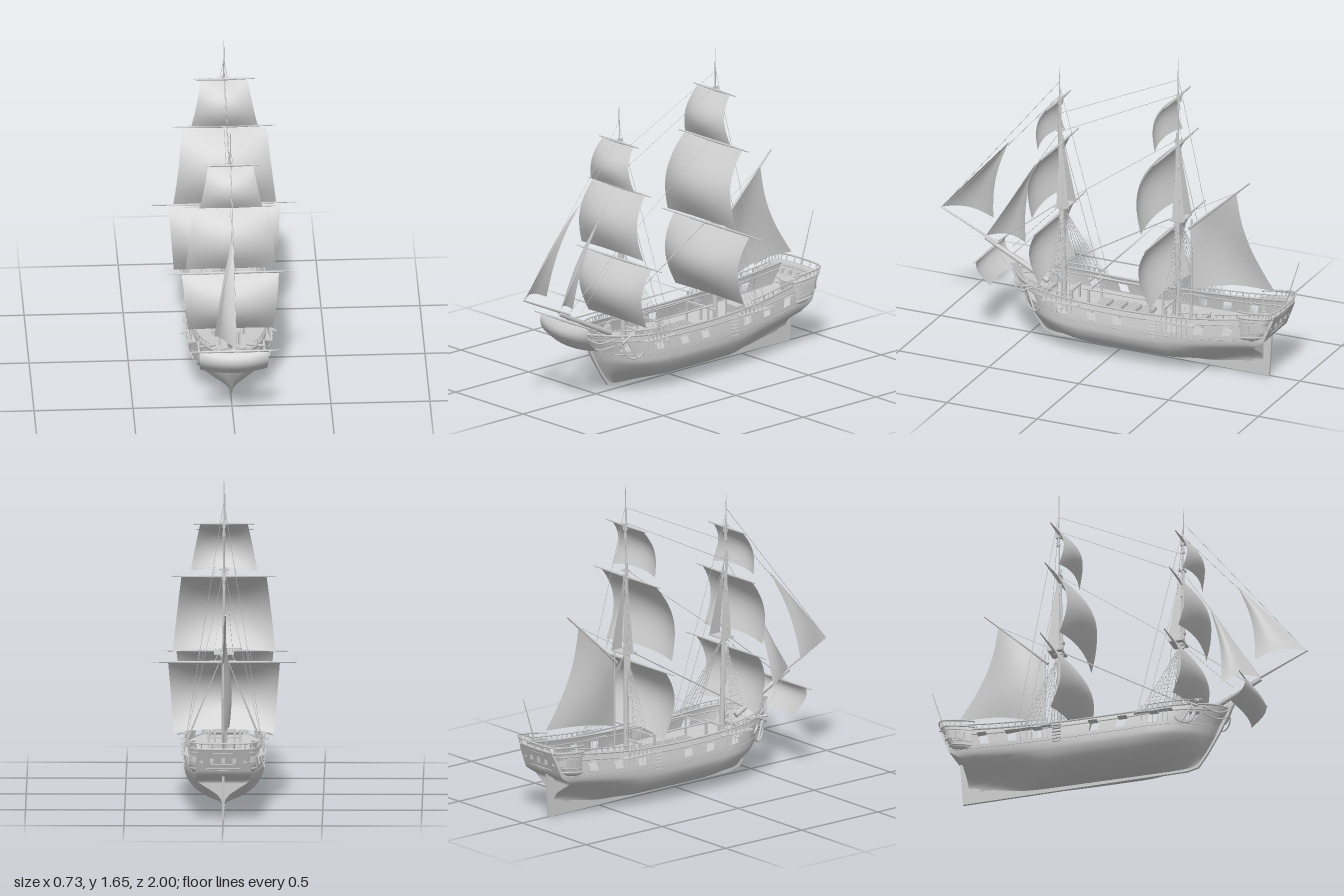
import * as THREE from 'three';
import { mergeGeometries } from 'three/addons/utils/BufferGeometryUtils.js';

const mat = new THREE.MeshStandardMaterial({ color: 0xcccccc });
const thin = new THREE.MeshStandardMaterial({ color: 0xcccccc, side: THREE.DoubleSide });
const V = (x, y, z) => new THREE.Vector3(x, y, z);
const lerp = THREE.MathUtils.lerp;
const table = (vals) => {
  const c = new THREE.SplineCurve(vals.map((v, i) => new THREE.Vector2(i, v)));
  return (u) => c.getPoint(u).y;
};

// Grid surface from fn(i/n, j/m); skip(i, j) leaves openings
function sheet(n, m, fn, skip = () => false) {
  const pos = [], idx = [];
  for (let i = 0; i <= n; i++) for (let j = 0; j <= m; j++) pos.push(...fn(i / n, j / m, i, j).toArray());
  for (let i = 0; i < n; i++) for (let j = 0; j < m; j++) {
    if (skip(i, j)) continue;
    const a = i * (m + 1) + j, b = a + m + 1;
    idx.push(a, b, a + 1, b, b + 1, a + 1);
  }
  const g = new THREE.BufferGeometry();
  g.setAttribute('position', new THREE.Float32BufferAttribute(pos, 3));
  g.setIndex(idx);
  g.computeVertexNormals();
  return g;
}
// Straight tapered spar or rope
function rod(a, b, r1, r2 = r1, sides = 8) {
  const d = b.clone().sub(a);
  const g = new THREE.CylinderGeometry(r2, r1, d.length(), sides);
  g.applyQuaternion(new THREE.Quaternion().setFromUnitVectors(V(0, 1, 0), d.normalize()));
  const c = a.clone().add(b).multiplyScalar(0.5);
  return g.translate(c.x, c.y, c.z);
}
const rope = (a, b, r = 0.0012) => rod(a, b, r, r, 4);
const box = (w, h, d, x, y, z) => new THREE.BoxGeometry(w, h, d).translate(x, y, z);
const tube = (pts, r, n = 60) => new THREE.TubeGeometry(new THREE.CatmullRomCurve3(pts), n, r, 5);

// Hull form: u runs stern to bow, t runs keel to rail, s is the side
const breadth = table([0.137, 0.153, 0.17, 0.185, 0.194, 0.199, 0.2, 0.199, 0.198, 0.196, 0.19]);
const sheer = table([0.37, 0.35, 0.33, 0.315, 0.305, 0.3, 0.3, 0.302, 0.31, 0.322, 0.335]);
const stem = table([0.41, 0.46, 0.505, 0.54, 0.585]);
const sternZ = (t) => t < 0.5 ? -0.8 : t < 0.62 ? -0.8 - 0.5 * (t - 0.5) : -0.86 - 0.14 * (t - 0.62);
function hullPoint(u, t, s, out = 0) {
  const e = Math.max(0, (u - 0.72) / 0.28);
  const b = breadth(u) * Math.pow(Math.max(0, 1 - Math.pow(e, 2.6)), 0.75);
  const p = 1 + 10 * Math.max(0, 1 - u / 0.4) ** 2 + 1.4 * e * e;
  const k = Math.min(1, t / 0.55);
  const low = Math.pow(1 - (1 - k) ** 2, 0.6 * p);
  const tumble = 1 - 0.1 * Math.max(0, (t - 0.55) / 0.45) ** 2;
  return V(s * (b * low * tumble + out + 0.004), lerp(0.026, sheer(u), t), lerp(sternZ(t), stem(t), u));
}
const hullLine = (t, s, u0, u1, dy = 0) => Array.from({ length: 25 }, (_, i) =>
  hullPoint(lerp(u0, u1, i / 24), t, s).add(V(0, dy, 0)));

// Outline of the stern gallery, running round the stern from side to side
const sternLine = new THREE.CatmullRomCurve3([[0.145, -0.72], [0.16, -0.76], [0.166, -0.82], [0.162, -0.865], [0.13, -0.888],
  [0, -0.9], [-0.13, -0.888], [-0.162, -0.865], [-0.166, -0.82], [-0.16, -0.76], [-0.145, -0.72]].map(([x, z]) => V(x, 0, z)));
function sternPoint(a, y, scale = 1) {
  const p = sternLine.getPoint(a);
  const aft = Math.min(1, (-0.72 - p.z) / 0.14);
  return V(p.x * scale, y + 0.02 * aft, p.z - aft * (y - 0.32) * 0.4 + (1 - scale) * 0.12);
}
const sternRun = (y, r) => tube(Array.from({ length: 31 }, (_, i) => sternPoint(i / 30, y)), r);

export function createModel() {
  const ship = new THREE.Group();
  const add = (name, geos, m = mat) => {
    const list = [].concat(geos);
    const mesh = new THREE.Mesh(list.length > 1 ? mergeGeometries(list) : list[0], m);
    mesh.name = name;
    ship.add(mesh);
  };
  const both = (fn) => [-1, 1].flatMap(fn);

  // Hull shell with gun ports cut through the bulwarks
  const rows = [0, 0.01, 0.025, 0.05, 0.08, 0.12, 0.17, 0.23, 0.3, 0.38, 0.46, 0.5, 0.55, 0.62, 0.68, 0.71, 0.86, 0.93, 1];
  const ports = [0.15, 0.255, 0.36, 0.563, 0.67, 0.783, 0.92], N = 120;
  const portCells = ports.map((u) => Math.round(u * N) - 2);
  const isPort = (i, j) => j === 15 && portCells.some((c) => i >= c && i < c + 4);
  add('hull', both((s) => sheet(N, rows.length - 1, (u, v, i, j) => hullPoint(u, rows[j], s), isPort)), thin);
  add('transom', sheet(rows.length - 1, 8, (a, b, i) => hullPoint(0, rows[i], 1).multiply(V(2 * b - 1, 1, 1))), thin);
  add('deck', sheet(60, 8, (u, b) => hullPoint(u, 0.68, 1).multiply(V(2 * b - 1, 1, 1))), thin);

  // Keel, stem and deadwood in one plate
  const outline = [[-0.83, 0], [0.36, 0.015], [0.42, 0.03], [0.47, 0.1], [0.53, 0.2], [0.61, 0.36], [0.57, 0.37], [0.5, 0.2],
    [0.4, 0.06], [-0.74, 0.06], [-0.78, 0.235], [-0.845, 0.225]].map(([z, y]) => new THREE.Vector2(z, y));
  add('keel', new THREE.ExtrudeGeometry(new THREE.Shape(outline), { depth: 0.014, bevelEnabled: false })
    .translate(0, 0, -0.007).rotateY(-Math.PI / 2));

  // Wales, rails and open railings
  add('wales', both((s) => [[0.64, 0.002], [0.9, 0.004]].map(([t, r]) => tube(hullLine(t, s, 0.01, 0.99), r))));
  add('capRail', both((s) => tube(hullLine(1, s, 0, 1), 0.006)));
  const rail = [];
  for (const s of [-1, 1]) for (const [a, b] of [[0.06, 0.34], [0.74, 0.93]]) {
    rail.push(tube(hullLine(1, s, a, b, 0.026), 0.0035));
    for (let u = a; u <= b; u += 0.024) {
      const p = hullPoint(u, 1, s);
      rail.push(rod(p, p.clone().add(V(0, 0.026, 0)), 0.003, 0.003, 5));
    }
  }
  add('railing', rail);

  // Stern gallery wrapped round the quarters, with windows and mouldings
  const levels = [[0.215, 0.84], [0.235, 0.96], [0.25, 1], [0.3, 1], [0.352, 1], [0.358, 0.97], [0.355, 0.82]];
  add('sternGallery', sheet(60, 6, (a, v, i, j) => sternPoint(a, ...levels[j])), thin);
  add('galleryMouldings', [sternRun(0.25, 0.005), sternRun(0.272, 0.003), sternRun(0.335, 0.003), sternRun(0.356, 0.006)]);
  const windows = [], taffrail = [sternRun(0.388, 0.005)];
  for (let i = 0; i < 19; i++) {
    const a = 0.14 + 0.04 * i, d = sternLine.getTangent(a);
    const p = sternPoint(a, 0.303);
    windows.push(new THREE.BoxGeometry(0.008, 0.04, 0.018).rotateY(Math.atan2(d.x, d.z)).translate(p.x, p.y, p.z));
    taffrail.push(rod(sternPoint(a, 0.355), sternPoint(a, 0.388), 0.003, 0.003, 5));
  }
  add('galleryWindows', windows);
  add('taffrail', taffrail);

  // Open port lids, boarding steps, channels, boomkins
  add('portLids', both((s) => ports.slice(0, 6).map((u) => {
    const p = hullPoint(u, 0.87, s);
    return new THREE.BoxGeometry(0.032, 0.005, 0.046).rotateZ(s * 0.25).translate(p.x + s * 0.014, p.y + 0.004, p.z);
  })));
  add('boardingSteps', both((s) => [0, 1, 2, 3, 4, 5].map((i) => box(0.012, 0.005, 0.045, s * 0.2, 0.19 + i * 0.018, -0.27))));
  add('channels', both((s) => [[-0.4, 0.2], [0.24, 0.2]].map(([z, d]) => box(0.036, 0.007, d, s * 0.195, 0.285, z))));
  add('boomkins', both((s) => rod(V(s * 0.17, 0.3, 0.19), V(s * 0.24, 0.27, 0.22), 0.005)));

  // Masts: z at foot, z at head, top platform, crosstrees and pole heights
  const masts = [
    { name: 'fore', z: 0.31, zt: 0.34, top: 0.735, cross: 1.14, peak: 1.48, ch: 0.33 },
    { name: 'main', z: -0.32, zt: -0.322, top: 0.775, cross: 1.2, peak: 1.65, ch: -0.31 }];
  const lines = [], shroudSheets = [];
  for (const m of masts) {
    const at = (y, x = 0, dz = 0) => V(x, y, lerp(m.z, m.zt, (y - 0.2) / (m.peak - 0.2)) + dz);
    const { top, cross, peak } = m;
    add(m.name + 'Mast', [rod(at(0.2), at(top + 0.06), 0.014, 0.011, 12),
      rod(at(top - 0.03, 0, 0.014), at(cross + 0.04, 0, 0.006), 0.009, 0.006, 10), rod(at(cross - 0.02), at(peak), 0.005, 0.002)]);
    const p = at(top), c = at(cross);
    add(m.name + 'Top', [box(0.1, 0.008, 0.075, 0, top, p.z - 0.01), box(0.04, 0.012, 0.04, 0, top - 0.01, p.z),
      box(0.022, 0.014, 0.04, 0, top + 0.055, p.z + 0.006), box(0.05, 0.005, 0.007, 0, cross, c.z + 0.01),
      box(0.05, 0.005, 0.007, 0, cross, c.z - 0.01), box(0.007, 0.005, 0.04, 0, cross, c.z)]);
    for (const s of [-1, 1]) {
      // Lower shrouds with ratlines and deadeyes
      const feet = [0, 1, 2, 3, 4, 5].map((i) => V(s * 0.2, 0.3, m.ch - 0.028 * i - 0.01));
      const head = at(top - 0.02, s * 0.012);
      for (const f of feet) {
        lines.push(rope(f, head, 0.0016), rod(f.clone().add(V(0, -0.015, 0)), f.clone().add(V(0, 0.022, 0)), 0.005, 0.004, 6));
        lines.push(rope(f, V(s * 0.196, 0.22, f.z), 0.0013));
      }
      for (let k = 1; k < 15; k++) lines.push(rope(feet[0].clone().lerp(head, k / 16), feet[5].clone().lerp(head, k / 16), 0.0009));
      // Topmast shrouds and backstays
      shroudSheets.push(sheet(1, 4, (a, b) => V(s * 0.046, top, p.z + 0.012 - 0.07 * a).lerp(at(cross, s * 0.004), b)));
      lines.push(rope(at(cross), V(s * 0.2, 0.3, m.ch - 0.12)), rope(at(peak - 0.1), V(s * 0.2, 0.3, m.ch - 0.17)));
    }
  }
  add('topmastShrouds', shroudSheets, thin);

  // Square sails: yTop, yBottom, half widths, z top / bottom, belly, yard half length, foot arch
  const squares = [
    ['mainCourse', 0.72, 0.36, 0.282, 0.255, -0.295, -0.285, 0.105, 0.367, 0.015],
    ['mainTopsail', 1.16, 0.765, 0.215, 0.26, -0.305, -0.235, 0.108, 0.26, 0.015],
    ['mainTopgallant', 1.43, 1.19, 0.12, 0.168, -0.31, -0.27, 0.065, 0.155, 0.012],
    ['foreCourse', 0.675, 0.365, 0.245, 0.215, 0.345, 0.35, 0.085, 0.315, 0.015],
    ['foreTopsail', 1.055, 0.73, 0.195, 0.23, 0.345, 0.385, 0.08, 0.228, 0.015],
    ['foreTopgallant', 1.295, 1.08, 0.115, 0.16, 0.35, 0.385, 0.055, 0.145, 0.012],
    ['spritsail', 0.425, 0.295, 0.175, 0.17, 0.715, 0.645, 0.05, 0.23, -0.012]];
  for (const [name, y0, y1, w0, w1, z0, z1, belly, yard, arch] of squares) {
    add(name, sheet(20, 16, (a, t) => {
      const s = 2 * a - 1, mid = 1 - s * s;
      return V(s * lerp(w0, w1, t), lerp(y0, y1, t) + arch * mid * t * t,
        lerp(z0, z1, t) + belly * Math.sin(Math.PI * Math.pow(t, 0.9)) * (0.62 + 0.38 * mid) + 0.025 * mid * t);
    }), thin);
    const zy = z0 - 0.008;
    add(name + 'Yard', both((s) => rod(V(0, y0 + 0.004, zy), V(s * yard, y0 + 0.004, zy), 0.008, 0.003)));
    if (name !== 'spritsail') add(name + 'Sling', [box(0.016, 0.035, 0.022, 0, y0 + 0.002, zy - 0.008),
      rod(V(0, y0 - 0.06, zy - 0.006), V(0, y0 - 0.015, zy - 0.006), 0.01, 0.005, 6)]);
  }

  // Fore-and-aft sails: corners tack, head, peak, clew; the belly goes to -x
  const foreAft = (name, tack, head, peak, clew, belly, hollow) => add(name, sheet(16, 20, (a, b) => {
    const p = tack.clone().lerp(head, b).lerp(clew.clone().lerp(peak, b), a);
    p.x -= belly * Math.sin(Math.PI * a) * Math.sin(Math.PI * Math.min(1, 0.25 + 0.75 * b));
    p.z += hollow * a * Math.sin(Math.PI * b);
    p.y += 0.02 * Math.sin(Math.PI * a) * (1 - b);
    return p;
  }), thin);
  const jibHead = V(0, 1.02, 0.62), stayHead = V(0, 0.93, 0.47);
  foreAft('jib', V(0, 0.6, 0.995), jibHead, jibHead, V(-0.095, 0.545, 0.75), 0.03, 0.03);
  foreAft('staysail', V(0, 0.485, 0.745), stayHead, stayHead, V(-0.095, 0.44, 0.57), 0.03, 0.025);
  foreAft('spanker', V(0, 0.395, -0.4), V(0, 0.75, -0.405), V(-0.01, 0.965, -0.64), V(-0.01, 0.46, -0.855), 0.035, 0.045);
  add('gaff', rod(V(0, 0.725, -0.38), V(-0.01, 1.03, -0.715), 0.008, 0.004));
  add('spankerMast', rod(V(0, 0.23, -0.395), V(0, 0.78, -0.395), 0.005));
  add('flagStaff', rod(V(0, 0.38, -0.91), V(0, 0.65, -0.995), 0.004, 0.002));
  add('bowsprit', [rod(V(0, 0.3, 0.4), V(0, 0.475, 0.75), 0.015, 0.01, 10), rod(V(0, 0.455, 0.68), V(0, 0.6, 0.998), 0.007, 0.004)]);

  // Stays in the centre plane: y, z to y, z, radius
  for (const [y0, z0, y1, z1, r] of [
    [0.6, 0.99, 1.4, 0.34], [0.6, 0.98, 1.33, 0.335], [0.48, 0.75, 1.14, 0.33], [0.45, 0.7, 0.75, 0.325, 0.002],
    [1.53, -0.32, 1.23, 0.335], [1.45, -0.32, 1.13, 0.332], [1.2, -0.315, 0.74, 0.325], [0.78, -0.31, 0.33, 0.46, 0.003],
    [0.74, 0.32, 0.45, 0.6], [0.965, -0.64, 0.78, -0.32]])
    lines.push(rope(V(0, y0, z0), V(0, y1, z1), r));
  for (const s of [-1, 1]) lines.push(rope(V(s * 0.1, 0.31, 0.5), V(0, 0.475, 0.745)));
  add('rigging', lines);

  // Head rails, catheads and anchors
  add('headRails', both((s) => [0, 0.035].map((d) => tube([V(s * 0.12, 0.31 - d, 0.48), V(s * 0.07, 0.29 - d, 0.54),
    V(s * 0.03, 0.31 - d, 0.575), V(s * 0.005, 0.35 - d, 0.6 - d / 2)], 0.004, 20))));
  add('catheads', both((s) => rod(V(s * 0.08, 0.3, 0.4), V(s * 0.17, 0.325, 0.47), 0.007)));
  add('anchors', both((s) => [rod(V(s * 0.165, 0.31, 0.44), V(s * 0.19, 0.21, 0.39), 0.005),
    rod(V(s * 0.165, 0.325, 0.41), V(s * 0.165, 0.295, 0.47), 0.006),
    new THREE.TorusGeometry(0.055, 0.005, 6, 20, Math.PI).rotateZ(-Math.PI * 0.85).rotateY(-Math.PI / 2 - s * 0.45)
      .translate(s * 0.18, 0.262, 0.4)]));

  // Deck fittings
  const deckY = 0.214, fittings = [];
  for (const z of [-0.14, -0.06, 0.02, 0.1]) {
    fittings.push(box(0.15, 0.018, 0.06, 0, deckY + 0.006, z));
    for (let i = -4; i <= 4; i++) fittings.push(box(0.006, 0.006, 0.056, i * 0.016, deckY + 0.018, z));
  }
  add('hatches', fittings);
  add('spareSpars', [...both((s) => rod(V(s * 0.08, 0.33, -0.23), V(s * 0.08, 0.33, 0.17), 0.005)),
    ...[-0.2, 0.14].flatMap((z) => [box(0.18, 0.008, 0.01, 0, 0.322, z), ...both((s) => box(0.01, 0.11, 0.01, s * 0.08, 0.27, z))])]);
  add('companionway', [box(0.08, 0.04, 0.05, 0, 0.245, -0.46), box(0.09, 0.006, 0.06, 0, 0.268, -0.46)]);
  add('skylight', [box(0.05, 0.06, 0.08, 0, 0.29, -0.83), box(0.06, 0.006, 0.09, 0, 0.322, -0.83)]);
  add('windlass', [rod(V(-0.09, 0.255, 0.4), V(0.09, 0.255, 0.4), 0.014), ...both((s) => box(0.012, 0.07, 0.03, s * 0.075, 0.255, 0.4))]);
  add('pinRails', [-0.27, 0.25].flatMap((z) => [box(0.12, 0.01, 0.014, 0, 0.29, z), ...both((s) => box(0.012, 0.08, 0.012, s * 0.05, 0.255, z))]));
  return ship;
}
